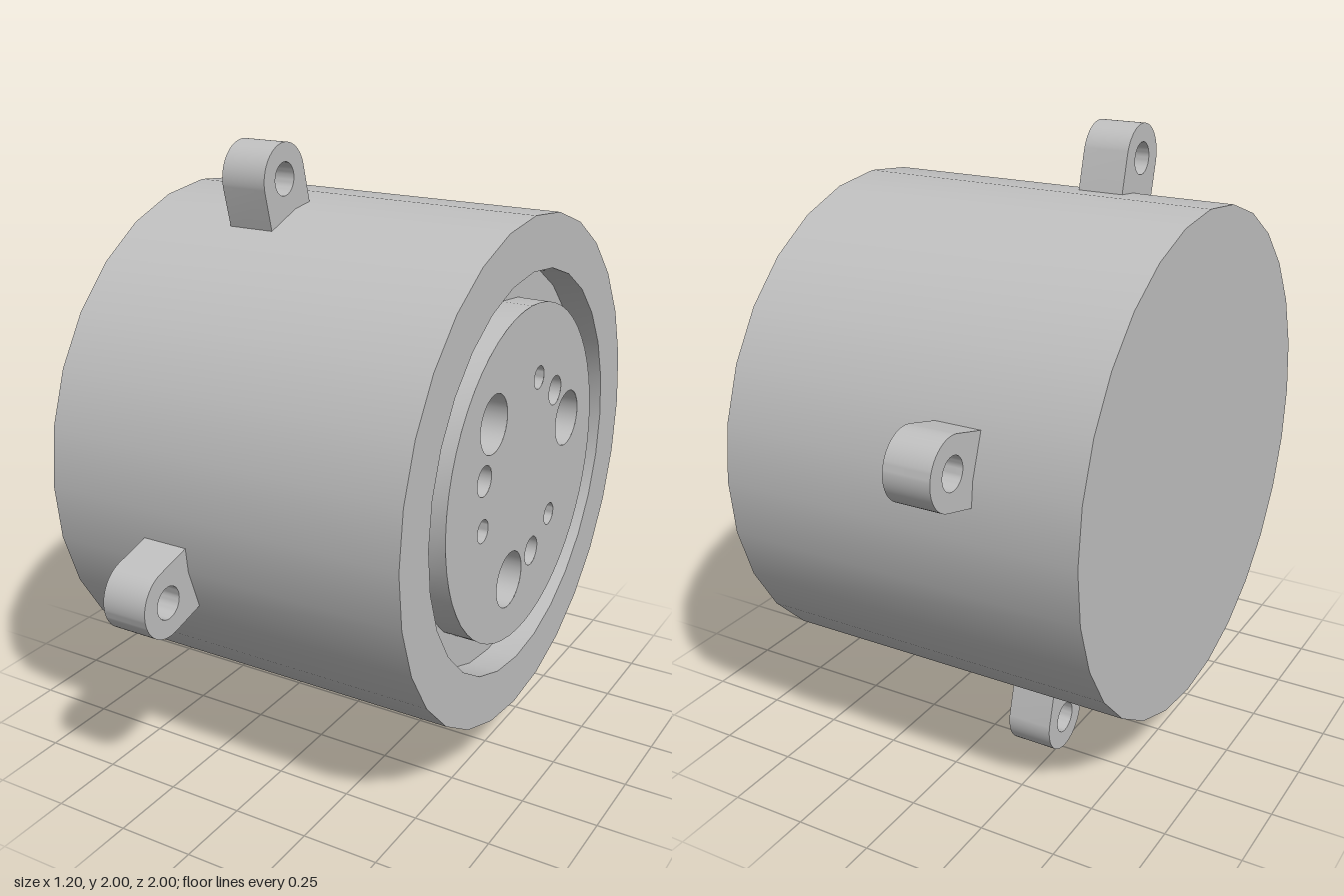
import * as THREE from 'three';
import { toCreasedNormals } from 'three/addons/utils/BufferGeometryUtils.js';

const SIDES = 28, HOLE_SIDES = 20;
const CENTER_Y = 1, HALF = 0.6;
const GROOVE_DEPTH = 0.1, HOLE_DEPTH = 0.2;
const DISC_R = 0.54, GROOVE_R = 0.642, BODY_R = 0.81;

// [z, y above the axis, radius] of the blind holes in the end face
const HOLES = [
  [0.24, 0.24, 0.092], [-0.326, 0.086, 0.092], [0.086, -0.326, 0.092],
  [-0.214, 0.214, 0.048], [0.294, 0.08, 0.048], [-0.08, -0.294, 0.048],
  [-0.08, 0.294, 0.037], [0.294, -0.08, 0.037], [-0.214, -0.214, 0.037],
];

// Revolve a profile of [radius, x] points around the x axis
function turned(profile, sides) {
  const geo = new THREE.LatheGeometry(profile.map(([r, x]) => new THREE.Vector2(r, x)), sides);
  geo.rotateZ(-Math.PI / 2);
  return toCreasedNormals(geo, 0.7);
}

function circlePath(x, y, r) {
  return new THREE.Path().absarc(x, y, r, 0, Math.PI * 2, true);
}

export function createModel() {
  const model = new THREE.Group();
  const grey = new THREE.MeshStandardMaterial({ color: 0xc0c0c0 });
  grey.name = 'plain grey';

  const assembly = new THREE.Group();
  assembly.name = 'motorHousing';
  assembly.position.y = CENTER_Y;
  model.add(assembly);

  const add = (geo, name, parent = assembly) => {
    const mesh = new THREE.Mesh(geo, grey);
    mesh.name = name;
    parent.add(mesh);
    return mesh;
  };

  // Drum with a ring groove in its +x end
  add(turned([
    [0, -HALF], [BODY_R, -HALF], [BODY_R, HALF], [GROOVE_R, HALF],
    [GROOVE_R, HALF - GROOVE_DEPTH], [DISC_R, HALF - GROOVE_DEPTH], [DISC_R, HALF],
  ], SIDES), 'drum');

  // Central face, pierced by the holes
  const face = new THREE.Shape();
  face.absarc(0, 0, DISC_R, 0, Math.PI * 2, false);
  for (const [z, y, r] of HOLES) face.holes.push(circlePath(-z, y, r));
  const faceGeo = new THREE.ShapeGeometry(face, SIDES);
  faceGeo.rotateY(Math.PI / 2);
  add(faceGeo, 'endFace').position.x = HALF;

  // Walls and floors of the blind holes
  for (const [z, y, r] of HOLES) {
    const geo = turned([[r, 0], [r, -HOLE_DEPTH], [0, -HOLE_DEPTH]], SIDES);
    add(geo, 'blindHole').position.set(HALF, y, z);
  }

  // Four mounting lugs around the drum
  const lug = new THREE.Shape();
  lug.moveTo(-0.109, 0.77);
  lug.lineTo(0.109, 0.77);
  lug.lineTo(0.109, 0.92);
  lug.absarc(0, 0.92, 0.109, 0, Math.PI, false);
  lug.closePath();
  lug.holes.push(circlePath(0, 0.92, 0.051));
  const extruded = new THREE.ExtrudeGeometry(lug, {
    depth: 0.15, bevelEnabled: false, curveSegments: HOLE_SIDES,
  });
  extruded.rotateY(Math.PI / 2);
  const lugGeo = toCreasedNormals(extruded, 0.7);
  for (let i = 0; i < 4; i++) {
    const mesh = add(lugGeo, 'mountingLug');
    mesh.position.x = -0.265;
    mesh.rotation.x = THREE.MathUtils.degToRad(15 + 90 * i);
  }

  return model;
}
